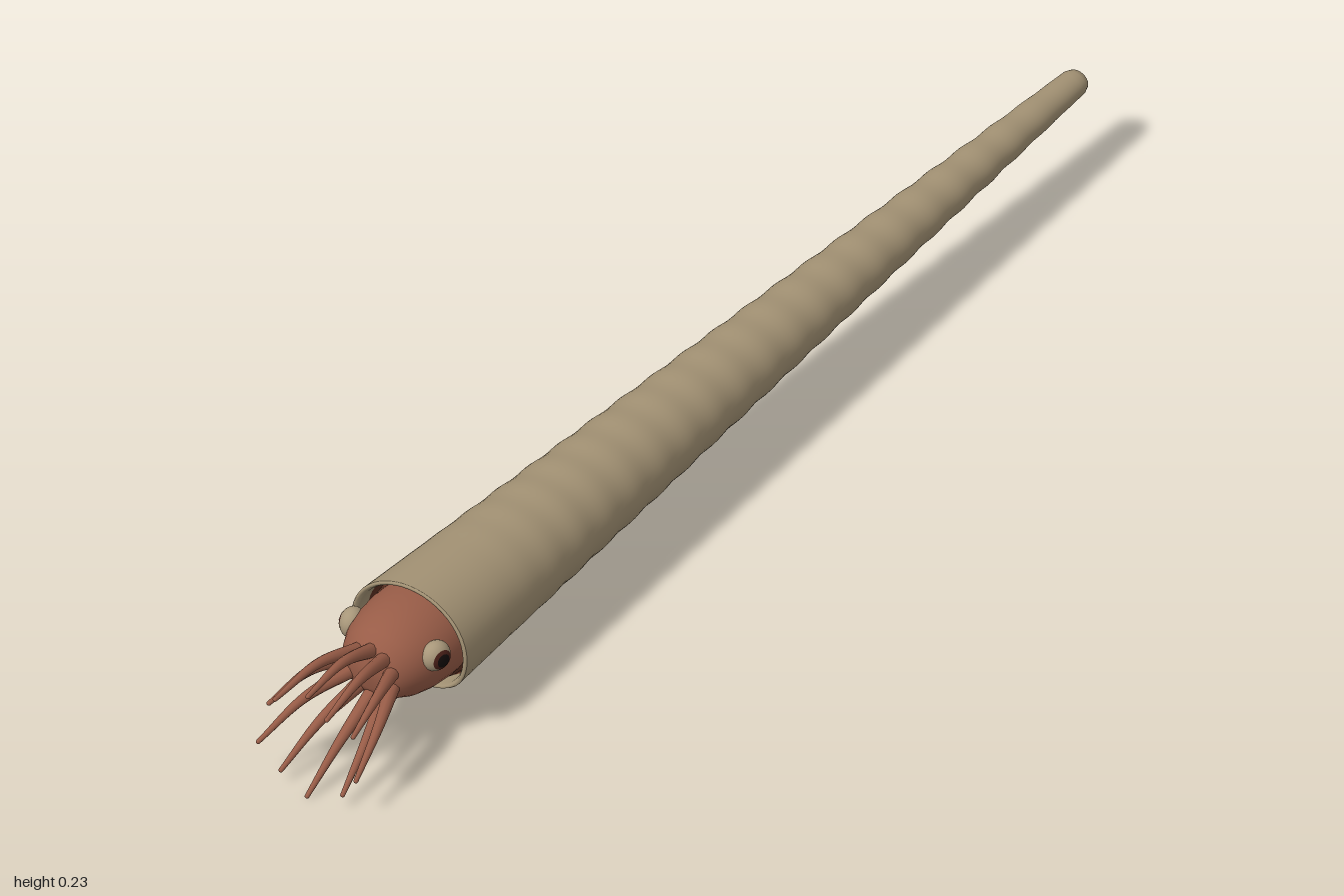
import * as THREE from 'three';

const mat = (name, color, side = THREE.FrontSide) => {
  const m = new THREE.MeshStandardMaterial({ color, side });
  m.name = name;
  return m;
};

export function createModel() {
  const shellTan = mat('shell tan', 0xa39274, THREE.DoubleSide);
  const flesh = mat('flesh', 0x985c47);
  const darkFlesh = mat('dark flesh', 0x5c3022, THREE.DoubleSide);
  const eyeCream = mat('eye cream', 0xa8977a);
  const irisBrown = mat('iris brown', 0x4a2018);
  const pupilBlack = mat('pupil black', 0x140c0a);

  const model = new THREE.Group();
  model.name = 'nautiloid';
  const add = (name, geometry, material, parent = model) => {
    const mesh = new THREE.Mesh(geometry, material);
    mesh.name = name;
    parent.add(mesh);
    return mesh;
  };

  // Profile of [radius, z] turned about the long axis, flattened a little in height
  const turned = (profile, segments, flat, y) => {
    const g = new THREE.LatheGeometry(profile.map(([r, z]) => new THREE.Vector2(r, z)), segments);
    return g.rotateX(Math.PI / 2).scale(1, flat, 1).translate(0, y, 0);
  };
  // The shell mouth is set back slightly along its underside
  const cutSinus = (g) => {
    const p = g.attributes.position;
    for (let i = 0; i < p.count; i++) {
      const low = THREE.MathUtils.clamp((0.137 - p.getY(i)) / 0.092, 0, 1);
      const near = THREE.MathUtils.smoothstep(p.getZ(i), 0.55, 0.72);
      p.setZ(i, p.getZ(i) - 0.022 * low * low * near);
    }
    return g;
  };

  // Long ringed shell with a blunt rounded tip
  const shell = [[0.0001, -1], [0.012, -0.999], [0.019, -0.995], [0.0225, -0.985]];
  for (let i = 1; i <= 150; i++) {
    const t = i / 150;
    const z = -0.985 + 1.703 * t;
    const fade = 1 - THREE.MathUtils.smoothstep(t, 0.8, 0.95);
    const ripple = Math.sin(z * Math.PI * 2 / 0.075) * 0.0011 * fade * Math.min(1, t * 8);
    shell.push([0.0225 + 0.0805 * t + ripple, z]);
  }
  add('shell', cutSinus(turned(shell, 48, 0.9, 0.1375)), shellTan);
  add('shellLip', cutSinus(turned(
    [[0.103, 0.718], [0.101, 0.721], [0.097, 0.72], [0.094, 0.714], [0.0925, 0.69]], 48, 0.9, 0.1375)), shellTan);
  add('shellLining', cutSinus(turned([[0.0925, 0.69], [0.088, 0.6], [0.0001, 0.6]], 48, 0.9, 0.1375)), darkFlesh);

  // Mantle collar around the neck
  add('mantle', turned([[0.088, 0.62], [0.09, 0.67], [0.087, 0.69], [0.07, 0.695]], 40, 0.9, 0.135), darkFlesh);

  // Head, narrowing to the arm crown
  add('head', turned([
    [0.078, 0.61], [0.083, 0.66], [0.084, 0.71], [0.081, 0.745], [0.074, 0.775],
    [0.063, 0.798], [0.049, 0.816], [0.03, 0.825], [0.0001, 0.828],
  ], 40, 0.9, 0.137), flesh);

  // Swimming funnel beneath the head
  const funnel = new THREE.Group();
  funnel.name = 'funnel';
  funnel.position.set(0, 0.077, 0.75);
  funnel.rotation.x = 0.1;
  model.add(funnel);
  add('funnelTube', new THREE.CylinderGeometry(0.015, 0.025, 0.1, 24, 1, true).rotateX(Math.PI / 2), flesh, funnel);
  add('funnelOpening', new THREE.CircleGeometry(0.015, 24).translate(0, 0, 0.049), darkFlesh, funnel);

  // Eyes on both sides
  for (const s of [1, -1]) {
    const eye = new THREE.Group();
    eye.name = s > 0 ? 'leftEye' : 'rightEye';
    eye.position.set(s * 0.074, 0.158, 0.757);
    eye.rotation.y = s * 1.3;
    model.add(eye);
    add('eyeball', new THREE.SphereGeometry(0.024, 24, 16).scale(1, 1, 0.8), eyeCream, eye);
    // Each cap follows the eyeball, slightly raised
    const cap = (r, angle) => new THREE.SphereGeometry(r, 24, 8, 0, Math.PI * 2, 0, angle)
      .rotateX(Math.PI / 2).scale(1, 1, 0.8);
    add('iris', cap(0.0246, 0.72), irisBrown, eye);
    add('pupil', cap(0.0252, 0.45), pupilBlack, eye);
  }

  // Tapered, gently arched arm with a rounded tip
  const arm = (angle, tip) => {
    const out = new THREE.Vector3(Math.cos(angle), Math.sin(angle), 0);
    const base = out.clone().multiplyScalar(0.035).add(new THREE.Vector3(0, 0.133, 0.805));
    const end = new THREE.Vector3(...tip);
    const mid = base.clone().lerp(end, 0.5).addScaledVector(out, 0.006);
    mid.y += 0.011;
    const curve = new THREE.CatmullRomCurve3([base, mid, end]);
    const rings = 20, sides = 10;
    const g = new THREE.TubeGeometry(curve, rings, 1, sides);
    const p = g.attributes.position;
    const v = new THREE.Vector3();
    for (let i = 0; i <= rings; i++) {
      const c = curve.getPointAt(i / rings);
      const r = THREE.MathUtils.lerp(0.0125, 0.0036, Math.pow(i / rings, 0.9));
      for (let j = 0; j <= sides; j++) {
        const k = i * (sides + 1) + j;
        v.fromBufferAttribute(p, k).sub(c).multiplyScalar(r).add(c);
        p.setXYZ(k, v.x, v.y, v.z);
      }
    }
    const group = new THREE.Group();
    group.name = 'arm';
    add('armShaft', g, flesh, group);
    add('armTip', new THREE.SphereGeometry(0.0037, 10, 8).translate(...tip), flesh, group);
    model.add(group);
  };

  // Ten arms: one above, one below, four mirrored pairs
  const step = Math.PI / 5;
  arm(-Math.PI / 2, [0, 0.0055, 0.98]);
  arm(Math.PI / 2, [0, 0.183, 0.978]);
  const pairTips = [[0.055, 0.023, 0.968], [0.087, 0.068, 0.98], [0.075, 0.136, 0.97], [0.046, 0.17, 0.996]];
  pairTips.forEach(([x, y, z], i) => {
    const a = -Math.PI / 2 + step * (i + 1);
    arm(a, [x, y, z]);
    arm(Math.PI - a, [-x, y, z]);
  });

  return model;
}
